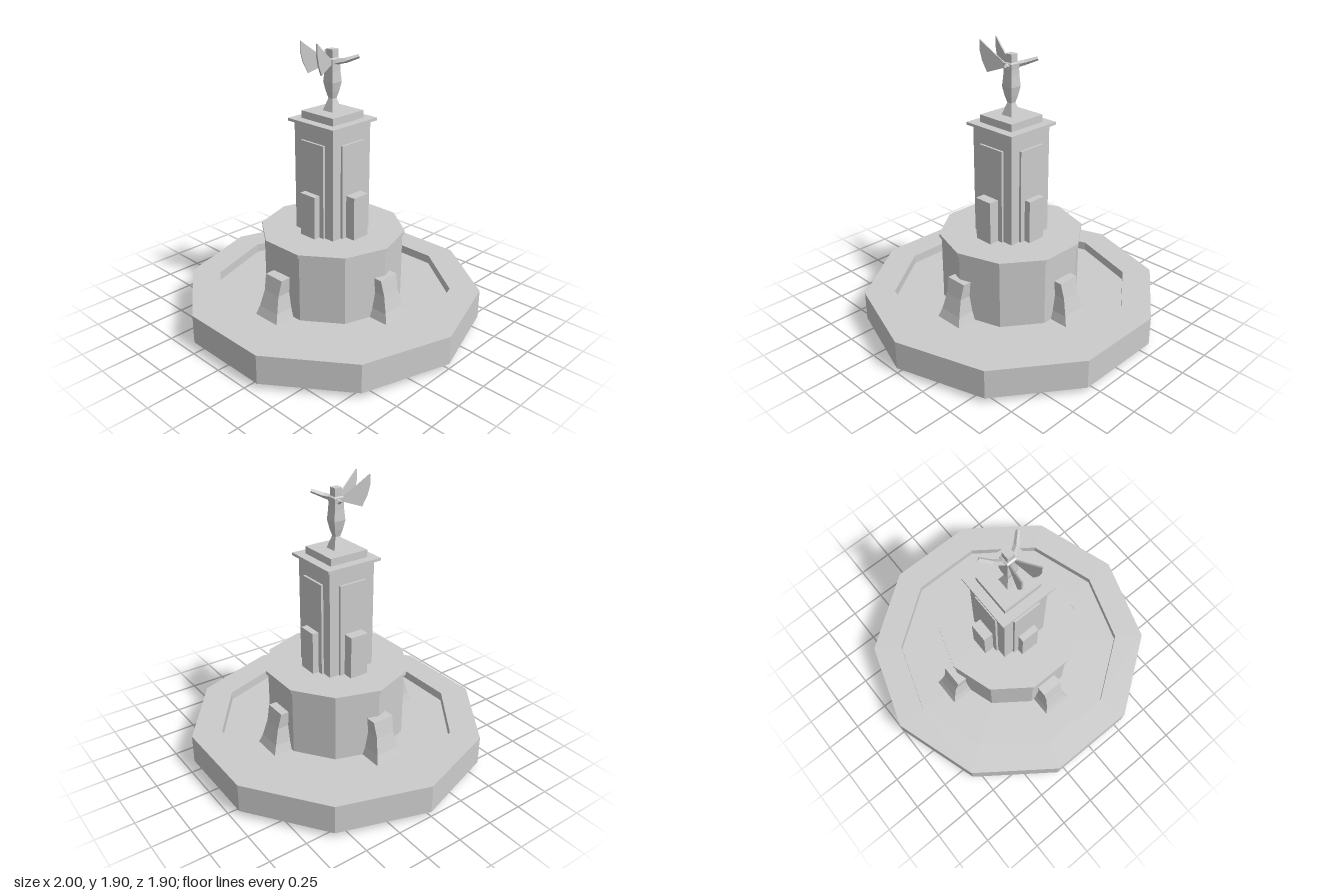
import * as THREE from 'three';

const material = new THREE.MeshStandardMaterial({ color: 0xcccccc, flatShading: true, side: THREE.DoubleSide });

function add(parent, name, geometry, x = 0, y = 0, z = 0) {
  const flat = geometry.index ? geometry.toNonIndexed() : geometry;
  flat.computeVertexNormals();
  const mesh = new THREE.Mesh(flat, material);
  mesh.name = name;
  mesh.position.set(x, y, z);
  parent.add(mesh);
  return mesh;
}

// Ten-sided drum between two heights, with corners on the x axis
function decagon(parent, name, r, y0, y1) {
  const geo = new THREE.CylinderGeometry(r, r, y1 - y0, 10, 1, false, Math.PI / 2);
  return add(parent, name, geo, 0, (y0 + y1) / 2, 0);
}

function block(parent, name, w, y0, y1, d, x = 0, z = 0) {
  return add(parent, name, new THREE.BoxGeometry(w, y1 - y0, d), x, (y0 + y1) / 2, z);
}

// Four-sided solid through rectangular sections [y, x0, x1, z0, z1], bottom to top
function loft(sections) {
  const pos = [], idx = [];
  for (const [y, x0, x1, z0, z1] of sections) {
    pos.push(x0, y, z1, x1, y, z1, x1, y, z0, x0, y, z0);
  }
  for (let s = 0; s < sections.length - 1; s++) {
    for (let i = 0; i < 4; i++) {
      const a = s * 4 + i, b = s * 4 + (i + 1) % 4;
      idx.push(a, b, b + 4, a, b + 4, a + 4);
    }
  }
  const t = (sections.length - 1) * 4;
  idx.push(0, 2, 1, 0, 3, 2, t, t + 1, t + 2, t, t + 2, t + 3);
  const geo = new THREE.BufferGeometry();
  geo.setAttribute('position', new THREE.Float32BufferAttribute(pos, 3));
  geo.setIndex(idx);
  return geo;
}

// Square bar between two points
function bar(parent, name, from, to, r0, r1) {
  const a = new THREE.Vector3(...from), b = new THREE.Vector3(...to);
  const dir = b.clone().sub(a);
  const mid = a.clone().add(b).multiplyScalar(0.5);
  const geo = new THREE.CylinderGeometry(r1, r0, dir.length(), 4, 1, false, Math.PI / 4);
  const mesh = add(parent, name, geo, mid.x, mid.y, mid.z);
  mesh.quaternion.setFromUnitVectors(new THREE.Vector3(0, 1, 0), dir.normalize());
}

function createBasin() {
  const basin = new THREE.Group();
  basin.name = 'basin';
  const rim = [[0.8, 0.035], [1, 0.035], [1, 0.23], [0.8, 0.23], [0.8, 0.035]]
    .map(([r, y]) => new THREE.Vector2(r, y));
  add(basin, 'basinRim', new THREE.LatheGeometry(rim, 10, Math.PI / 2));
  decagon(basin, 'basinFloor', 0.8, 0.045, 0.17);
  return basin;
}

function createPedestal() {
  const pedestal = new THREE.Group();
  pedestal.name = 'pedestal';
  decagon(pedestal, 'drum', 0.468, 0, 0.62);
  decagon(pedestal, 'drumCap', 0.483, 0.618, 0.642);

  // Flared buttresses on four sides, [x, z, turn]
  const places = [[-0.019, 0.007, 0], [-0.007, 0, 1], [-0.019, 0.007, 2], [-0.007, 0, 3]];
  for (const [x, z, turn] of places) {
    const geo = loft([
      [0.17, -0.1, 0.1, 0.42, 0.582],
      [0.23, -0.083, 0.083, 0.42, 0.56],
      [0.34, -0.066, 0.066, 0.42, 0.53],
      [0.445, -0.075, 0.075, 0.42, 0.507],
    ]);
    add(pedestal, 'buttress', geo, x, 0, z).rotation.y = turn * Math.PI / 2;
  }
  return pedestal;
}

function createTower() {
  const tower = new THREE.Group();
  tower.name = 'tower';
  block(tower, 'shaft', 0.34, 0.64, 1.38, 0.34);
  block(tower, 'cornice', 0.4, 1.378, 1.396, 0.4);
  block(tower, 'statuePlinth', 0.278, 1.396, 1.445, 0.278);

  // Raised panel and low block on each face
  for (let i = 0; i < 4; i++) {
    const face = new THREE.Group();
    face.name = 'towerFace';
    face.rotation.y = i * Math.PI / 2;
    const reach = i % 2 ? 0.255 : 0.23;
    block(face, 'panel', 0.2, 0.64, 1.27, 0.04, 0, 0.166);
    block(face, 'lowBlock', 0.13, 0.64, 0.932, reach - 0.15, 0, (reach + 0.15) / 2);
    tower.add(face);
  }
  return tower;
}

function createStatue() {
  const statue = new THREE.Group();
  statue.name = 'statue';
  const sections = [[1.445, 0.043], [1.525, 0.018], [1.57, 0.03], [1.63, 0.041],
    [1.7, 0.035], [1.74, 0.034], [1.775, 0.037], [1.785, 0.022]];
  add(statue, 'statueBody', loft(sections.map(([y, h]) => [y, -h, h, -h, h])));
  block(statue, 'head', 0.052, 1.78, 1.835, 0.052);

  // Wing outline: distance from the body, height
  const outline = [[0, 1.745], [0.13, 1.7], [0.165, 1.77], [0.182, 1.835], [0.18, 1.9], [0.1, 1.84], [0, 1.77]];
  const shape = new THREE.Shape(outline.map(([u, y]) => new THREE.Vector2(u, y)));
  for (const side of [-1, 1]) {
    const geo = new THREE.ExtrudeGeometry(shape, { depth: 0.01, bevelEnabled: false });
    geo.translate(0, 0, -0.005);
    add(statue, 'wing', geo, side * 0.02, 0, 0.03).rotation.y = -(Math.PI / 2 - side * 0.28);

    // Arms swept out and back
    bar(statue, 'upperArm', [side * 0.02, 1.755, 0.005], [side * 0.085, 1.77, -0.035], 0.02, 0.017);
    bar(statue, 'forearm', [side * 0.082, 1.769, -0.033], [side * 0.14, 1.795, -0.09], 0.017, 0.013);
  }
  return statue;
}

export function createModel() {
  const model = new THREE.Group();
  model.name = 'fountain';
  model.add(createBasin(), createPedestal(), createTower(), createStatue());
  return model;
}
